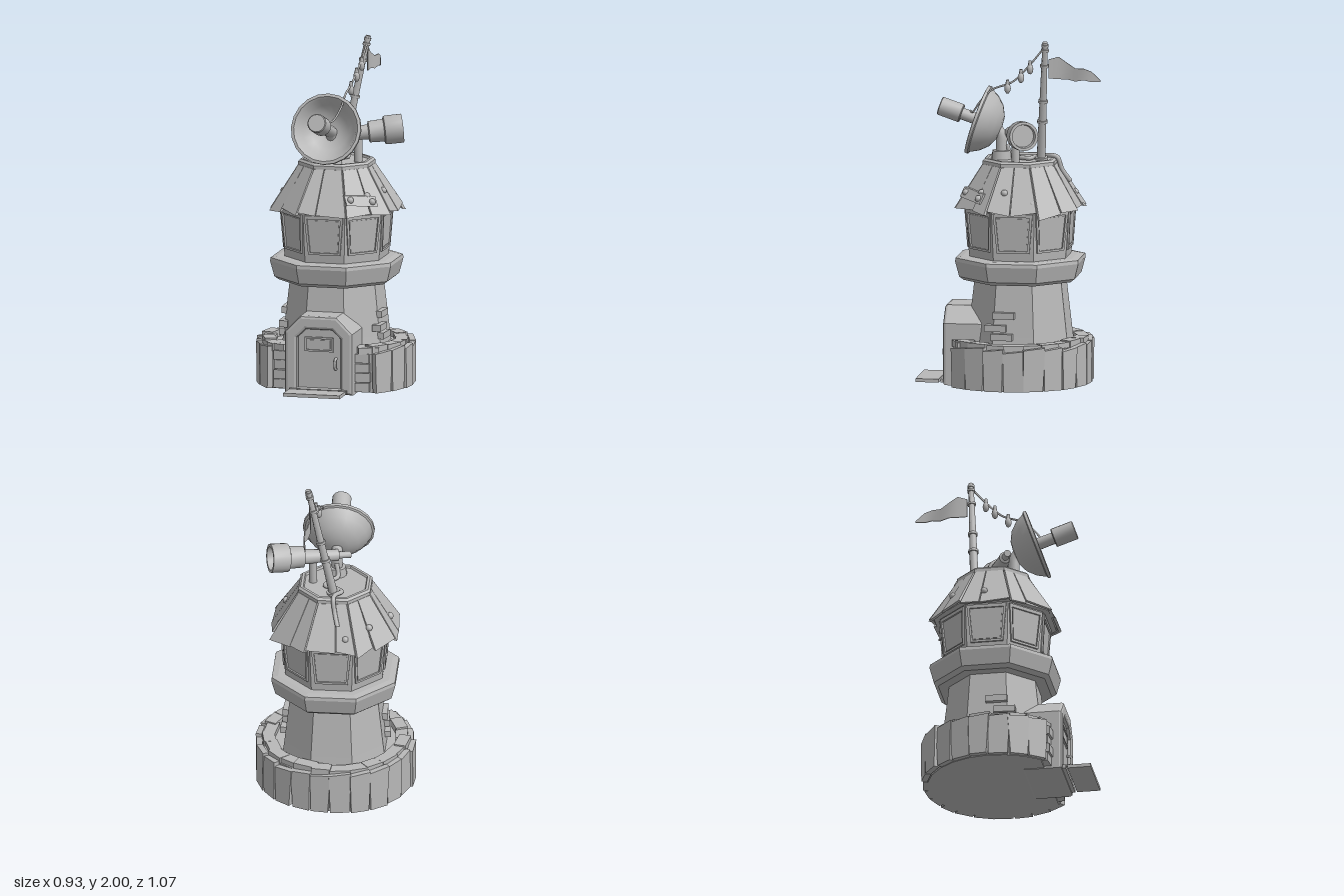
import * as THREE from 'three';
import { toCreasedNormals } from 'three/addons/utils/BufferGeometryUtils.js';

const stone = new THREE.MeshStandardMaterial({ color: 0xb8b8b8 });
stone.name = 'plain grey';
const CZ = -0.05; // z of the tower axis
const V = (x, y, z) => new THREE.Vector3(x, y, z);
const lerp = THREE.MathUtils.lerp;

export function createModel() {
  const model = new THREE.Group();
  model.name = 'watchTower';
  let seed = 7;
  const vary = (s) => { seed = (seed * 16807) % 2147483647; return (seed / 2147483647 - 0.5) * 2 * s; };

  const add = (name, geo, x = 0, y = 0, z = 0) => {
    const m = new THREE.Mesh(geo, stone);
    m.name = name;
    m.position.set(x, y, z);
    model.add(m);
    return m;
  };
  const box = (name, w, h, d, x, y, z, ry = 0) => {
    const m = add(name, new THREE.BoxGeometry(w, h, d), x, y, z);
    m.rotation.y = ry;
    return m;
  };
  // box whose corners (-0.5..0.5) are moved by a rule
  const warp = (rule, sx = 1, sy = 1) => {
    const g = new THREE.BoxGeometry(1, 1, 1, sx, sy, 1), p = g.attributes.position;
    for (let i = 0; i < p.count; i++) p.setXYZ(i, ...rule(p.getX(i), p.getY(i), p.getZ(i)));
    g.computeVertexNormals();
    return g;
  };
  // eight-sided turned part from [apothem, y] points, flats facing the axes
  const octagon = (name, profile) => {
    const pts = profile.map(([r, y]) => new THREE.Vector2(r / Math.cos(Math.PI / 8), y));
    const g = new THREE.LatheGeometry(pts, 8).rotateY(Math.PI / 8).toNonIndexed();
    g.computeVertexNormals();
    return add(name, g, 0, 0, CZ);
  };
  // round part turned about the line from a towards b, points are [radius, distance]
  const turned = (name, a, b, profile, sides = 16, crease = 0.6) => {
    const g = new THREE.LatheGeometry(profile.map(([r, t]) => new THREE.Vector2(r, t)), sides);
    const m = add(name, toCreasedNormals(g, crease), a.x, a.y, a.z);
    m.quaternion.setFromUnitVectors(V(0, 1, 0), b.clone().sub(a).normalize());
    return m;
  };
  const rod = (name, a, b, r1, r2 = r1, sides = 12) => {
    const l = a.distanceTo(b);
    return turned(name, a, b, [[0, 0], [r1, 0], [r2, l], [0, l]], sides, 0.9);
  };
  const tube = (name, pts, r, n = 40, sides = 8) =>
    add(name, new THREE.TubeGeometry(new THREE.CatmullRomCurve3(pts.map((p) => V(...p))), n, r, sides));

  // tower, gallery, cabin and roof core
  octagon('towerBody', [[0, 0.02], [0.32, 0.02], [0.285, 0.3], [0.25, 0.62], [0, 0.62]]);
  octagon('gallery', [[0, 0.605], [0.31, 0.605], [0.335, 0.625], [0.358, 0.715], [0.355, 0.735], [0.32, 0.742], [0, 0.742]]);
  octagon('cabin', [[0, 0.73], [0.278, 0.73], [0.285, 0.8], [0.3, 1.04], [0, 1.04]]);
  octagon('roofCore', [[0, 1.03], [0.335, 1.03], [0.192, 1.275], [0, 1.275]]);
  octagon('roofCap', [[0, 1.265], [0.195, 1.265], [0.207, 1.275], [0.207, 1.295], [0.195, 1.307],
    [0.18, 1.307], [0.175, 1.295], [0, 1.295]]);

  for (let k = 0; k < 8; k++) {
    const a = k * Math.PI / 4;
    // window frame bars standing just proud of the leaning wall
    const bar = (x0, x1, y0, y1, t) => add('windowFrame', warp((u, v, w) => {
      const y = lerp(y0, y1, v + 0.5);
      const spread = 0.82 + 0.18 * (y - 0.79) / 0.22;
      return [lerp(x0, x1, u + 0.5) * spread, y, 0.285 + (y - 0.8) * 0.0625 + w * t];
    }).rotateY(a), 0, 0, CZ);
    bar(-0.115, -0.1, 0.79, 1.02, 0.02);
    bar(0.1, 0.115, 0.79, 1.02, 0.02);
    bar(-0.1, 0.1, 0.79, 0.803, 0.02);
    bar(-0.1, 0.1, 1.0, 1.02, 0.02);
    bar(-0.092, 0.092, 0.811, 0.992, 0.008);

    // two uneven roof planks per side
    const split = vary(0.25);
    [[-1, split], [split, 1]].forEach(([l, r], i) => {
      const drop = vary(0.018), lift = vary(0.006) + i * 0.004, skew = vary(0.025);
      add('roofPlank', warp((u, v, w) => {
        const t = v + 0.5, half = lerp(0.147, 0.083, t), y = lerp(1.02 + drop + u * skew, 1.275, t);
        const x = lerp(l + 0.02, r - 0.02, u + 0.5) * half;
        return [x, y, 0.2 + (1.275 - y) * 0.6 + lift * (1 - t) + w * 0.018];
      }).rotateY(a), 0, 0, CZ);
    });
  }

  // roof rivets and repair patch, placed by angle and height
  const onRoof = (a, y, out) => {
    const r = (0.2 + (1.275 - y) * 0.6) + out;
    return V(Math.sin(a) * r, y, CZ + Math.cos(a) * r);
  };
  const rivet = (deg, y, out = 0.012) => {
    const s = add('roofRivet', new THREE.SphereGeometry(0.02, 10, 8));
    s.position.copy(onRoof(deg * Math.PI / 180, y, out));
  };
  [[80, 1.14], [110, 1.08], [50, 1.13], [268, 1.1], [195, 1.1], [225, 1.13]].forEach((r) => rivet(...r));
  const patch = (name, deg, x, w, y, tilt) => add(name, warp((u, v, t) => {
    const py = y + v * 0.055 + u * tilt;
    return [x + u * w, py, 0.2 + (1.275 - py) * 0.6 + 0.02 + t * 0.015];
  }).rotateY(deg * Math.PI / 180), 0, 0, CZ);
  patch('roofPatch', 45, -0.03, 0.2, 1.11, -0.02);
  rivet(28, 1.12, 0.04);
  rivet(52, 1.1, 0.03);

  // low wall round the base, open towards the door
  const WZ = -0.015, arc = [];
  for (let i = 0; i <= 18; i++) {
    const a = lerp(48, 312, i / 18) * Math.PI / 180;
    arc.push(new THREE.Vector2(Math.sin(a) * 0.425, -WZ - Math.cos(a) * 0.425));
  }
  add('baseWall', new THREE.ExtrudeGeometry(new THREE.Shape(arc), { depth: 0.235, bevelEnabled: false })
    .rotateX(-Math.PI / 2), 0, 0.005, 0);
  for (let i = 0; i < 18; i++) {
    const a = lerp(45, 315, (i + 0.5) / 18) * Math.PI / 180;
    const top = 0.245 + vary(0.012), wt = 0.122 + vary(0.006), wb = 0.108 + vary(0.008), s = vary(0.008);
    const out = 0.438 + vary(0.01), turn = vary(0.05);
    const slab = add('wallSlab', warp((u, v, w) => [u * lerp(wb, wt, v + 0.5) + v * s,
      lerp(0.008, top + u * 0.012, v + 0.5), w * 0.034]), Math.sin(a) * out, 0, WZ + Math.cos(a) * out);
    slab.rotation.y = a + turn;
    const c = 0.385 + vary(0.008);
    box('copingStone', 0.12 + vary(0.01), 0.045, 0.07, Math.sin(a) * c, 0.252 + vary(0.006),
      WZ + Math.cos(a) * c, a + vary(0.06));
  }

  // wall ends and loose bricks, mirrored
  for (const s of [-1, 1]) {
    for (let j = 0; j < 4; j++) {
      box('wallEndStone', 0.09 + vary(0.008), 0.052, 0.1, s * 0.235, 0.04 + j * 0.056, 0.265 + vary(0.01), s * 0.1);
    }
    box('wallEndCap', 0.12, 0.04, 0.12, s * 0.255, 0.25, 0.235, s * 0.4);
    [[0.005, 0.425, 0.28], [0.052, 0.352, 0.285], [0.015, 0.302, 0.295]].forEach(([z, y, x]) =>
      box('looseBrick', 0.05, 0.038, 0.125, s * (x - 0.005), y, z, s * -0.06));
  }

  // doorway
  const arch = (w, h, c) => [[-w, 0], [w, 0], [w, h - c], [w - c, h], [c - w, h], [-w, h - c]]
    .map(([x, y]) => new THREE.Vector2(x, y));
  const porch = new THREE.Shape(arch(0.185, 0.42, 0.085));
  porch.holes.push(new THREE.Path(arch(0.145, 0.375, 0.06).reverse()));
  add('porch', new THREE.ExtrudeGeometry(porch,
    { depth: 0.2, bevelSize: 0.017, bevelThickness: 0.017, bevelSegments: 2 }), 0, 0.018, 0.155);
  add('door', new THREE.ExtrudeGeometry(new THREE.Shape(arch(0.125, 0.36, 0.05)),
    { depth: 0.16, bevelSize: 0.006, bevelThickness: 0.006, bevelSegments: 1 }), 0, 0.022, 0.185);
  add('doorBacking', new THREE.ExtrudeGeometry(new THREE.Shape(arch(0.16, 0.39, 0.065)),
    { depth: 0.13, bevelEnabled: false }), 0, 0.02, 0.2);
  for (const s of [-1, 1]) {
    box('doorWindowFrame', 0.17, 0.01, 0.014, 0, 0.29 + s * 0.037, 0.354);
    box('doorWindowFrame', 0.01, 0.084, 0.014, s * 0.08, 0.29, 0.354);
  }
  box('doorWindow', 0.13, 0.05, 0.008, 0, 0.29, 0.353);
  tube('doorHandle', [[0.1, 0.15, 0.35], [0.1, 0.155, 0.375], [0.1, 0.205, 0.375], [0.1, 0.21, 0.35]], 0.008, 16);
  box('doorSill', 0.34, 0.022, 0.06, 0, 0.021, 0.36);
  box('doorStep', 0.335, 0.02, 0.135, 0, 0.02, 0.4675);

  // signal dish facing forwards and a little up
  const rim = V(0, 1.52, 0.195), axis = V(0, 0.324, 0.946);
  const along = (t) => rim.clone().addScaledVector(axis, t);
  turned('dish', along(-0.145), rim, [[0, 0], [0.07, 0.008], [0.125, 0.035], [0.168, 0.08], [0.195, 0.13],
    [0.207, 0.135], [0.207, 0.152], [0.19, 0.155], [0.178, 0.145], [0.15, 0.09], [0.11, 0.05], [0.06, 0.025], [0, 0.02]], 20);
  rod('dishArm', along(-0.14), along(0.12), 0.036, 0.034);
  turned('dishReceiver', along(0.1), along(1), [[0, 0], [0.05, 0], [0.055, 0.005], [0.055, 0.13], [0.05, 0.135], [0, 0.135]]);
  add('dishBase', new THREE.CylinderGeometry(0.052, 0.058, 0.05, 14), 0, 1.32, 0.06);
  tube('dishPost', [[0, 1.3, 0.06], [0, 1.38, 0.06], [0, 1.44, 0.065], [0, 1.49, 0.1]], 0.032, 16, 12);

  // telescope on its post
  const eye = V(-0.08, 1.44, 0.035), lens = V(0.37, 1.485, -0.125);
  turned('telescope', eye, lens, [[0, 0], [0.02, 0], [0.02, 0.07], [0.034, 0.075], [0.034, 0.1], [0.034, 0.11],
    [0.044, 0.28], [0.062, 0.285], [0.066, 0.37], [0.08, 0.375], [0.084, 0.385], [0.084, 0.48],
    [0.068, 0.48], [0.064, 0.44], [0, 0.44]], 20);
  rod('telescopePost', V(0.13, 1.29, -0.04), V(0.13, 1.45, -0.04), 0.024);

  // leaning mast with bands
  const foot = V(0, 1.29, -0.17), tip = V(0.145, 2, -0.215);
  const mastAt = (t) => foot.clone().lerp(tip, t);
  rod('mast', foot, tip, 0.026, 0.015);
  [[0.02, 0.038], [0.33, 0.03], [0.5, 0.028], [0.8, 0.024], [0.93, 0.023], [0.97, 0.021]].forEach(([t, r]) =>
    rod('mastBand', mastAt(t - 0.01), mastAt(t + 0.012), r));

  // ragged flag streaming backwards, [z, top, bottom]
  const cloth = [[-0.235, 1.9, 1.79], [-0.29, 1.915, 1.785], [-0.34, 1.88, 1.785], [-0.39, 1.85, 1.775],
    [-0.44, 1.852, 1.785], [-0.485, 1.835, 1.775], [-0.535, 1.785, 1.775]];
  add('flag', warp((u, v, w) => {
    const [z, top, low] = cloth[Math.round((u + 0.5) * 6)];
    return [0.135 + 0.01 * Math.sin(u * 8) + w * 0.006 + u * 0.015, lerp(low, top, v + 0.5), z];
  }, 6, 1));

  // string of bulbs from the mast to the dish
  tube('bulbWire', [[0.143, 1.97, -0.21], [0.125, 1.86, -0.12], [0.1, 1.76, -0.02], [0.09, 1.71, 0.1],
    [0.08, 1.64, 0.17], [0.04, 1.57, 0.22], [0, 1.57, 0.24]], 0.006, 40, 6);
  [[0.128, 1.84, -0.125], [0.112, 1.785, -0.07], [0.1, 1.72, 0.01]].forEach(([x, y, z]) => {
    add('bulb', new THREE.SphereGeometry(0.019, 10, 8).scale(1, 1.6, 1), x, y, z);
    add('bulbCap', new THREE.CylinderGeometry(0.009, 0.012, 0.03, 8), x, y + 0.035, z);
  });

  // cable winding over the cap and down the back of the roof
  tube('cable', [[0.0, 1.38, 0.03], [-0.01, 1.31, 0.0], [0.03, 1.31, -0.05], [0.055, 1.31, -0.11], [0, 1.31, -0.13],
    [-0.045, 1.31, -0.17], [-0.01, 1.32, -0.235], [-0.005, 1.31, -0.265], [-0.015, 1.24, -0.29],
    [-0.035, 1.17, -0.335]], 0.013, 60);
  return model;
}
